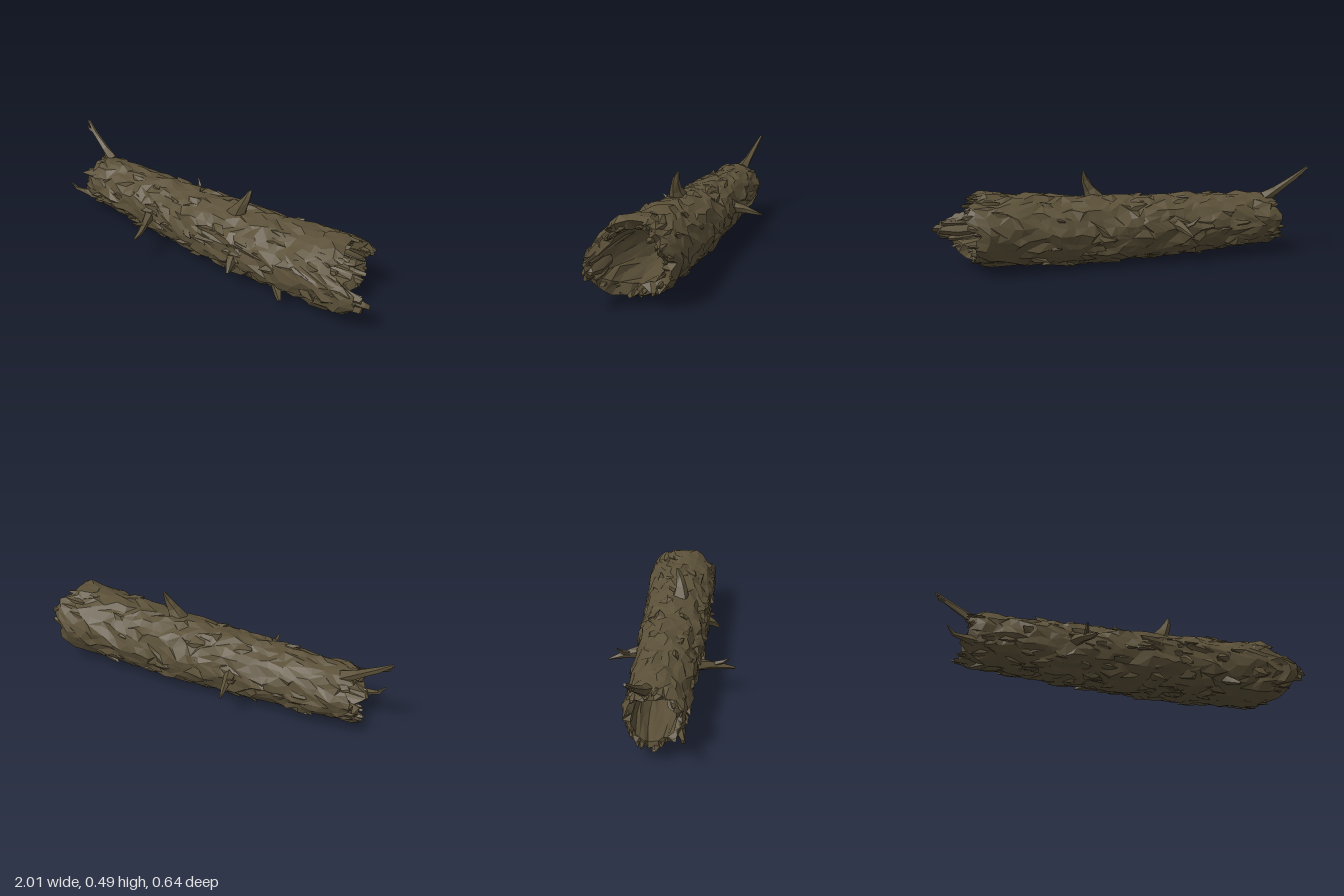
import * as THREE from 'three';
import { mergeGeometries } from 'three/addons/utils/BufferGeometryUtils.js';
import { ConvexGeometry } from 'three/addons/geometries/ConvexGeometry.js';

const V = (x, y, z) => new THREE.Vector3(x, y, z);
const TAU = Math.PI * 2;

// Seeded random numbers
let seed = 7;
function rnd(min = 0, max = 1) {
  seed = (seed * 1664525 + 1013904223) % 4294967296;
  return min + (max - min) * (seed / 4294967296);
}

// Piecewise linear lookup in [position, value] pairs
function lookup(pairs, t) {
  for (let i = 1; i < pairs.length; i++) {
    const [a, va] = pairs[i - 1], [b, vb] = pairs[i];
    if (t <= b) return va + (vb - va) * Math.max(0, (t - a) / (b - a));
  }
  return pairs[pairs.length - 1][1];
}

// Trunk shape along x; angle 0 is up, a quarter turn is the front
const centreY = x => lookup([[-0.85, 0.198], [-0.4, 0.19], [0, 0.186], [0.3, 0.189], [0.8, 0.22], [1, 0.215]], x);
const centreZ = x => lookup([[-0.85, -0.025], [0, -0.016], [0.9, -0.024]], x);
const outerR = x => lookup([[-0.85, 0.136], [-0.7, 0.142], [0, 0.17], [0.5, 0.179], [0.8, 0.187], [1, 0.172]], x);
const innerR = x => lookup([[-0.85, 0.099], [0, 0.107], [0.9, 0.128]], x);
const widen = x => lookup([[-0.85, 1], [0, 1.04], [0.8, 1.07]], x);
const surface = (x, a, r) => V(x, centreY(x) + r * Math.cos(a), centreZ(x) + r * widen(x) * Math.sin(a));

// Broken ends: where the wood stops, by fraction of a turn
const farEnd = [[0, 0.79], [0.05, 0.8], [0.1, 0.83], [0.15, 0.79], [0.19, 0.83], [0.22, 0.93], [0.29, 0.96], [0.34, 0.9],
  [0.42, 0.86], [0.48, 0.8], [0.58, 0.8], [0.66, 0.83], [0.75, 0.8], [0.8, 0.86], [0.86, 0.87], [0.92, 0.82], [1, 0.79]];
const endX = a => lookup(farEnd, (((a / TAU) % 1) + 1) % 1);
const startX = a => -0.825 + 0.02 * Math.cos(a) + 0.012 * Math.sin(5 * a);

// Hollow trunk: loops run along the bark, over the rim and back through the hole
function trunkGeometry() {
  const N = 28, OUT = 34, IN = 13, loops = [];
  for (let i = 0; i < OUT + IN; i++) {
    const outside = i < OUT;
    const t = outside ? i / (OUT - 1) : 1 - (i - OUT) / (IN - 1);
    const rim = t === 0 || t === 1;
    const ring = [];
    for (let j = 0; j < N; j++) {
      const a = ((j + rnd(-0.36, 0.36)) / N) * TAU;
      const x0 = startX(a), x1 = endX(a);
      const x = x0 + (x1 - x0) * t + rnd(-1, 1) * 0.02 - (outside ? 0 : t * 0.04 - 0.01);
      const ridges = 0.004 * Math.sin(9 * a + 4 * Math.sin(5 * x)) + 0.004 * Math.sin(17 * x + 3 * a);
      const r = outside
        ? outerR(x) + ridges + rnd(-0.009, 0.008) - (rim ? 0.012 : 0)
        : innerR(x) + ridges + rnd(-0.007, 0.007);
      ring.push(surface(x, a, r));
    }
    loops.push(ring);
  }
  const pos = [];
  const tri = (...pts) => pts.forEach(p => pos.push(p.x, p.y, p.z));
  loops.forEach((ring, i) => {
    const next = loops[(i + 1) % loops.length];
    for (let j = 0; j < N; j++) {
      const k = (j + 1) % N;
      if (rnd() < 0.5) {
        tri(ring[j], ring[k], next[j]);
        tri(ring[k], next[k], next[j]);
      } else {
        tri(ring[j], ring[k], next[k]);
        tri(ring[j], next[k], next[j]);
      }
    }
  });
  const g = new THREE.BufferGeometry();
  g.setAttribute('position', new THREE.Float32BufferAttribute(pos, 3));
  g.computeVertexNormals();
  return g;
}

// Plate of bark lying along the trunk with one lifted end
function flake(x, a, length, width, lift) {
  const r = outerR(x), w = width / r, skew = rnd(-0.7, 0.7) * w;
  return new ConvexGeometry([
    surface(x, a - w, r - 0.014), surface(x + length * 0.1, a + w, r - 0.012),
    surface(x + length * 0.45, a + skew, r + lift * 0.7),
    surface(x + length * 0.6, a - w * 0.9, r - 0.008),
    surface(x + length, a + skew + w * 0.25, r + lift),
    surface(x + length * 0.85, a + w * 0.6, r - 0.01),
  ]);
}

// Rough chunk running along the wall and out past the broken rim
function splinter(a, from, to, depth, thick) {
  const pts = [];
  [[from, 0.8], [from + (to - from) * 0.6, 1], [to, 0.55]].forEach(([x, s]) => {
    const r = outerR(x) - depth, bend = rnd(-0.04, 0.04);
    for (let k = 0; k < 4; k++) {
      const q = (k / 4) * TAU + rnd(-0.5, 0.5);
      pts.push(surface(x + rnd(-0.018, 0.012), a + bend + (Math.cos(q) * thick * s * 1.4) / r, r + Math.sin(q) * thick * s));
    }
  });
  return new ConvexGeometry(pts);
}

// Angular limb through [x, y, z, radius] points
function limb(points, sides = 5) {
  const rings = points.map(([x, y, z, r], i) => {
    const a = points[Math.max(0, i - 1)], b = points[Math.min(points.length - 1, i + 1)];
    const dir = V(b[0] - a[0], b[1] - a[1], b[2] - a[2]).normalize();
    const turn = new THREE.Quaternion().setFromUnitVectors(V(0, 1, 0), dir);
    return Array.from({ length: sides }, (_, k) => {
      const q = (k / sides) * TAU + i * 0.2;
      return V(Math.cos(q) * r, 0, Math.sin(q) * r).applyQuaternion(turn).add(V(x, y, z));
    });
  });
  return mergeGeometries(rings.slice(1).map((ring, i) => new ConvexGeometry([...rings[i], ...ring])));
}

export function createModel() {
  seed = 7;
  const group = new THREE.Group();
  const bark = new THREE.MeshStandardMaterial({ color: 0x5c5139 });
  bark.name = 'dark brown bark';
  bark.flatShading = true;
  const add = (name, ...geometries) => {
    const mesh = new THREE.Mesh(mergeGeometries(geometries), bark);
    mesh.name = name;
    group.add(mesh);
  };

  add('hollowTrunk', trunkGeometry());

  // Loose bark, thicker on the front and underside
  const flakes = [];
  for (let i = 0; i < 120; i++) {
    const a = i % 3 ? rnd(0.15, 0.62) * TAU : rnd() * TAU;
    const x = rnd(-0.72, 0.68);
    const dir = rnd() < 0.5 ? 1 : -1;
    flakes.push(flake(x, a, dir * rnd(0.07, 0.15), rnd(0.02, 0.042), rnd(0.003, 0.014)));
  }
  add('barkFlakes', ...flakes);

  // Splintered wood around both broken ends
  const far = [], near = [];
  for (let i = 0; i < 46; i++) {
    const a = ((i + rnd(-0.3, 0.3)) / 46) * TAU;
    const depth = i % 2 ? rnd(0.03, 0.05) : rnd(0.008, 0.02);
    far.push(splinter(a, endX(a) - rnd(0.1, 0.2), endX(a) + rnd(-0.03, 0.035), depth, rnd(0.012, 0.019)));
  }
  for (let i = 0; i < 20; i++) {
    const a = ((i + rnd(-0.3, 0.3)) / 20) * TAU;
    near.push(splinter(a, startX(a) + rnd(0.06, 0.12), startX(a) - rnd(-0.015, 0.018), rnd(0.01, 0.024), rnd(0.01, 0.015)));
  }
  // Longest pieces of the front side
  [[0.235, 0.96, 0.03], [0.262, 1, 0.035], [0.295, 0.965, 0.025], [0.275, 0.97, 0.055]].forEach(([turn, to, depth]) =>
    far.push(splinter(turn * TAU, 0.76, to, depth, 0.022)));
  add('farEndSplinters', ...far);
  add('nearEndSplinters', ...near);

  // Broken branches
  add('endBranch',
    limb([[-0.76, 0.31, -0.06, 0.035], [-0.83, 0.352, -0.075, 0.022], [-0.93, 0.42, -0.095, 0.015], [-0.995, 0.475, -0.115, 0.008]]),
    limb([[-0.93, 0.42, -0.095, 0.01], [-0.975, 0.435, -0.095, 0.008], [-0.985, 0.458, -0.095, 0.004]], 4));
  add('topBranch',
    limb([[0.18, 0.33, 0.005, 0.055], [0.215, 0.39, 0.008, 0.032], [0.24, 0.44, 0, 0.02], [0.252, 0.483, -0.015, 0.008]]));
  add('frontBranch',
    limb([[-0.31, 0.2, 0.12, 0.035], [-0.285, 0.19, 0.19, 0.023], [-0.26, 0.172, 0.26, 0.016], [-0.25, 0.16, 0.318, 0.006]]),
    limb([[-0.275, 0.187, 0.2, 0.014], [-0.285, 0.21, 0.26, 0.01], [-0.29, 0.23, 0.284, 0.003]], 4));
  add('backBranch',
    limb([[-0.21, 0.21, -0.15, 0.035], [-0.22, 0.2, -0.22, 0.022], [-0.225, 0.185, -0.27, 0.015], [-0.235, 0.17, -0.322, 0.004]]),
    limb([[-0.22, 0.2, -0.215, 0.016], [-0.26, 0.225, -0.25, 0.011], [-0.29, 0.262, -0.27, 0.003]], 4));
  add('endTwig',
    limb([[-0.79, 0.14, 0.085, 0.028], [-0.85, 0.145, 0.1, 0.016], [-0.9, 0.15, 0.112, 0.01], [-0.93, 0.185, 0.122, 0.004]], 4));
  add('frontStub',
    limb([[0.26, 0.18, 0.13, 0.035], [0.275, 0.155, 0.185, 0.02], [0.285, 0.125, 0.22, 0.008]], 4));
  add('lowerStub',
    limb([[0.5, 0.11, 0.11, 0.03], [0.54, 0.085, 0.15, 0.02], [0.57, 0.068, 0.18, 0.009]], 4));

  return group;
}
